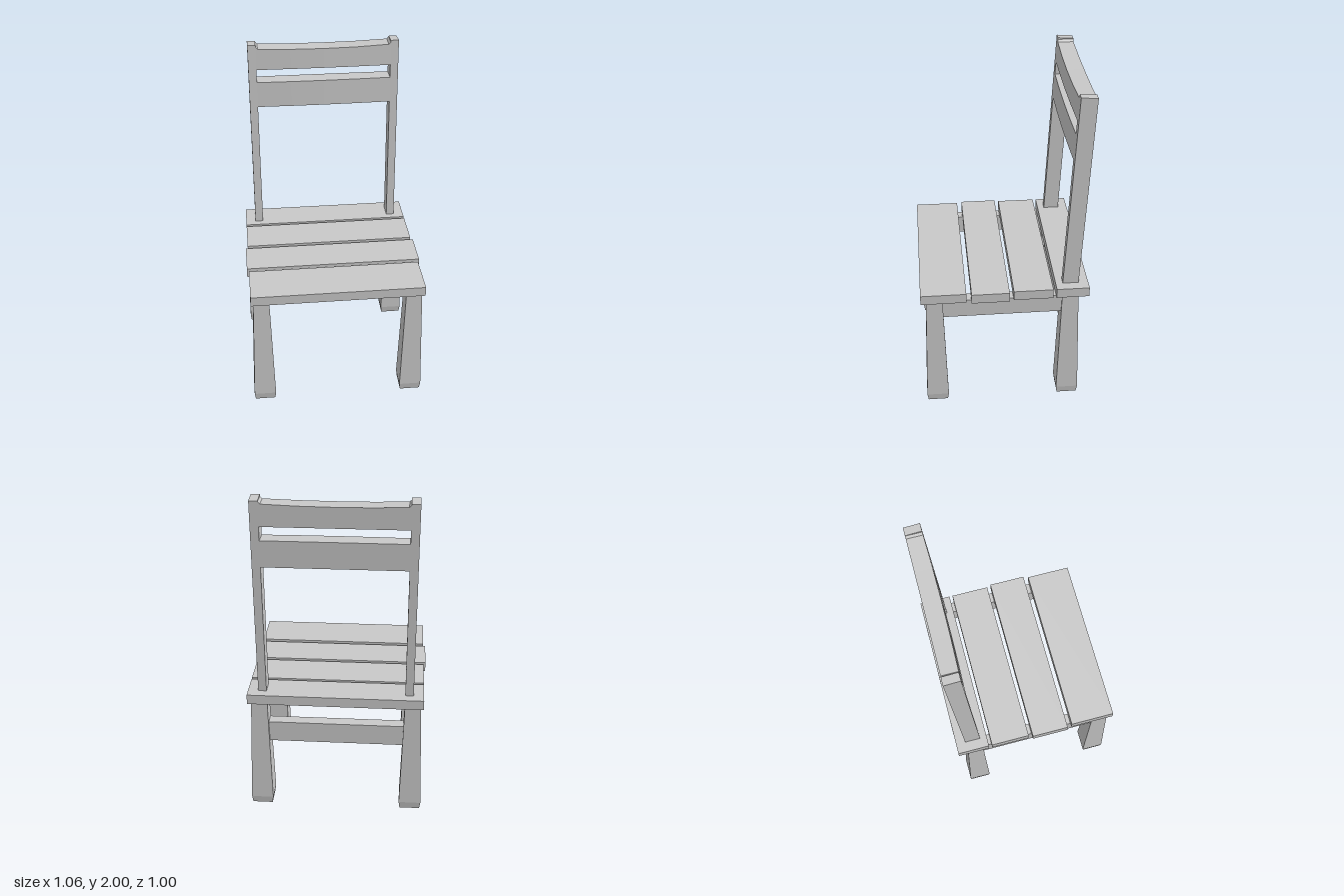
import * as THREE from 'three';

// Unit box cut into segments, each vertex placed by a rule; flat normals.
function shapedBox(segX, segY, rule) {
  const geo = new THREE.BoxGeometry(1, 1, 1, segX, segY, 1).toNonIndexed();
  const pos = geo.attributes.position;
  for (let i = 0; i < pos.count; i++) {
    const u = pos.getX(i) + 0.5, v = pos.getY(i) + 0.5, w = pos.getZ(i) + 0.5;
    pos.setXYZ(i, ...rule(u, v, w));
  }
  geo.computeVertexNormals();
  return geo;
}

const lerp = THREE.MathUtils.lerp;
// Centre depth of the leaning backrest at height y
const lean = (y) => -0.395 - 0.046 * (y - 0.8);
const HALF_DEPTH = 0.0475;

export function createModel() {
  const chair = new THREE.Group();
  chair.name = 'chair';
  const wood = new THREE.MeshStandardMaterial({ color: 0xc8c8c8 });
  wood.name = 'plain grey';

  const add = (name, geo) => {
    const mesh = new THREE.Mesh(geo, wood);
    mesh.name = name;
    chair.add(mesh);
    return mesh;
  };
  const addBox = (name, x0, x1, y0, y1, z0, z1) =>
    add(name, new THREE.BoxGeometry(x1 - x0, y1 - y0, z1 - z0))
      .position.set((x0 + x1) / 2, (y0 + y1) / 2, (z0 + z1) / 2);

  // Seat planks: half width, back z, front z
  [[0.52, 0.23, 0.5], [0.532, -0.025, 0.2], [0.52, -0.285, -0.05], [0.52, -0.5, -0.305]]
    .forEach(([half, z0, z1], i) => addBox(`seatPlank${i + 1}`, -half, half, 0.74, 0.8, z0, z1));

  // Legs flare towards the floor, then tuck in at the foot: y, half x, half z
  const levels = [[0, 0.061, 0.06], [0.045, 0.067, 0.067], [0.74, 0.0475, 0.0485]];
  const legGeo = shapedBox(1, 2, (u, v, w) => {
    const [y, hx, hz] = levels[Math.round(v * 2)];
    return [(u * 2 - 1) * hx, y, (w * 2 - 1) * hz];
  });

  for (const [side, s] of [['left', 1], ['right', -1]]) {
    add(`${side}FrontLeg`, legGeo).position.set(s * 0.458, 0, 0.419);
    add(`${side}BackLeg`, legGeo).position.set(s * 0.458, 0, -0.389);

    // Side rail under the seat
    const xs = [s * 0.432, s * 0.497].sort((a, b) => a - b);
    addBox(`${side}SeatRail`, xs[0], xs[1], 0.625, 0.74, -0.345, 0.375);

    // Leaning back post, top cut square to the lean
    add(`${side}BackPost`, shapedBox(1, 1, (u, v, w) => {
      const y = v < 0.5 ? 0.74 : lerp(1.993, 2, w);
      return [s * 0.4345 + (u - 0.5) * 0.049, y, lean(y) + (w * 2 - 1) * HALF_DEPTH];
    }));
  }

  // Stretcher between the back legs
  addBox('backStretcher', -0.415, 0.415, 0.445, 0.575, -0.425, -0.355);

  // Backrest slats: slightly bowed fronts; the top one has a dipped upper edge
  const slatX = [-0.411, -0.398, -0.2, 0, 0.2, 0.398, 0.411];
  const addSlat = (name, bottom, topAt) => add(name, shapedBox(6, 1, (u, v, w) => {
    const i = Math.round(u * 6), x = slatX[i];
    const y = v < 0.5 ? bottom : topAt[Math.abs(i - 3)];
    const bow = 0.006 * (1 - (x / 0.411) ** 2);
    return [x, y, lean(y) + (w * 2 - 1) * HALF_DEPTH + (w > 0.5 ? bow : 0)];
  }));
  addSlat('topSlat', 1.845, [1.967, 1.969, 1.976, 1.99]);
  addSlat('lowerSlat', 1.605, [1.764, 1.764, 1.764, 1.764]);

  return chair;
}
